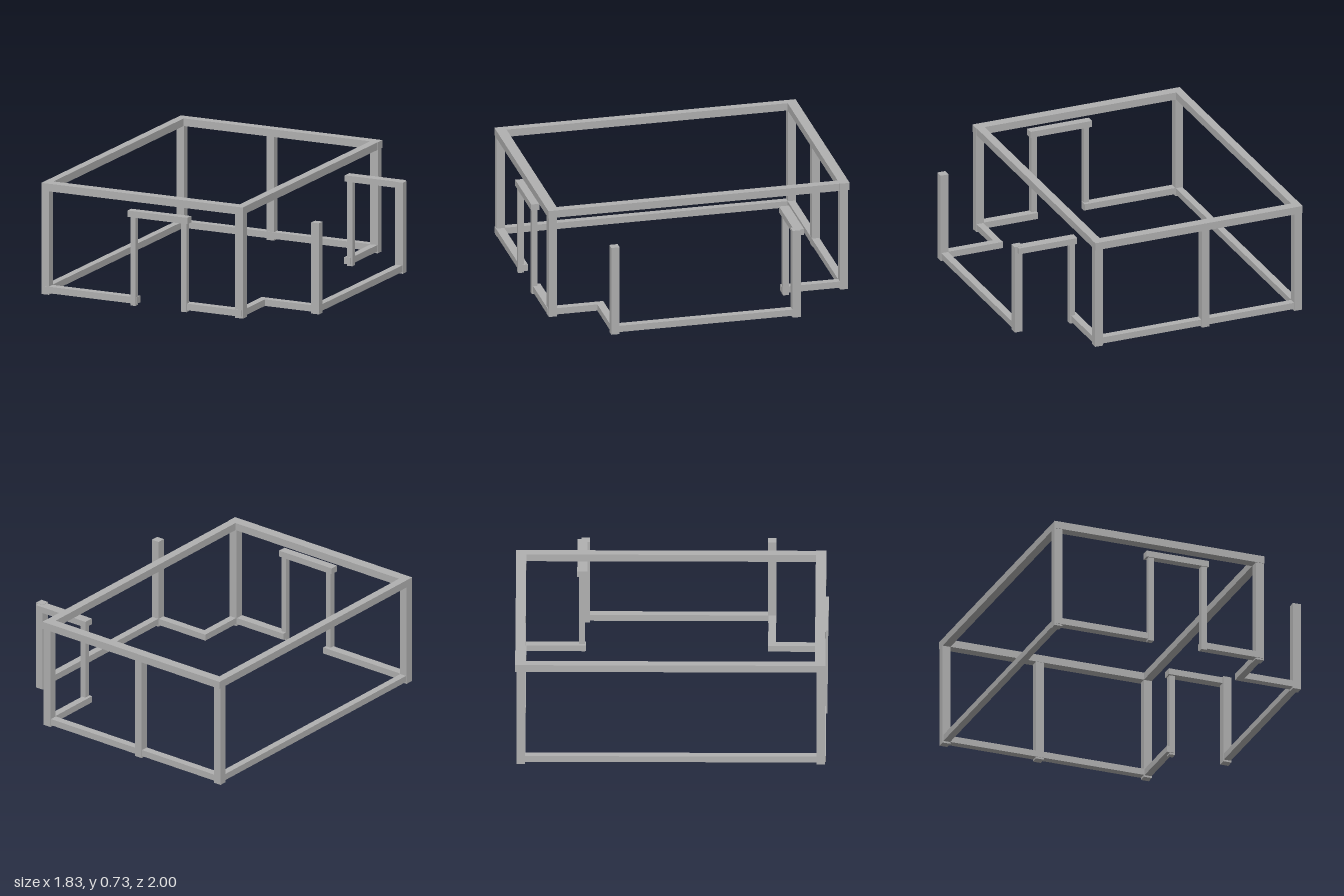
import * as THREE from 'three';

export function createModel() {
  const model = new THREE.Group();
  model.name = 'buildingFrame';
  const grey = new THREE.MeshStandardMaterial({ color: 0xb0b0b0 });
  grey.name = 'concreteGrey';

  // Square-edged member given by its extents on each axis
  function beam(name, [x0, x1], [y0, y1], [z0, z1]) {
    const mesh = new THREE.Mesh(new THREE.BoxGeometry(x1 - x0, y1 - y0, z1 - z0), grey);
    mesh.position.set((x0 + x1) / 2, (y0 + y1) / 2, (z0 + z1) / 2);
    mesh.name = name;
    model.add(mesh);
  }

  const left = [-0.913, -0.86], right = [0.473, 0.528];
  const front = [0.925, 0.98], back = [-0.99, -0.937];
  const bayX = [0.857, 0.912], bayFront = [0.608, 0.663], bayBack = [-0.585, -0.53];
  const sill = [0.012, 0.055], roof = [0.683, 0.733], wall = [0, 0.683];

  // Corner posts and the middle post of the back wall
  for (const x of [left, right]) {
    for (const z of [front, back]) beam('cornerPost', x, wall, z);
  }
  beam('backMiddlePost', [-0.27, -0.215], wall, back);

  // Upper ring
  beam('frontTopBeam', [-0.913, 0.53], roof, [0.915, 0.983]);
  beam('backTopBeam', [-0.913, 0.53], roof, [-1, -0.935]);
  for (const x of [left, right]) beam('sideTopBeam', x, roof, [-0.935, 0.915]);

  // Ground sills, left open at both doorways
  beam('frontSillA', [-0.9, -0.23], sill, [0.93, 0.985]);
  beam('frontSillB', [0.095, 0.52], sill, [0.93, 0.985]);
  beam('backSill', [-0.9, 0.52], sill, [-0.985, -0.935]);
  beam('longSideSill', [-0.908, -0.862], sill, [-0.98, 0.975]);
  beam('sideSillBack', [0.478, 0.525], sill, [-0.98, -0.555]);
  beam('sideSillFront', [0.478, 0.525], sill, [0.61, 0.975]);

  // Side bay
  beam('bayFrontSill', [0.48, 0.89], sill, [0.61, 0.66]);
  beam('bayOuterSill', [0.86, 0.908], sill, [-0.58, 0.66]);
  for (const z of [bayFront, bayBack]) beam('bayPost', bayX, [0, 0.6], z);

  // Bay doorway
  beam('bayDoorPost', [0.498, 0.535], [0, 0.557], [-0.6, -0.56]);
  beam('bayDoorHeader', [0.488, 0.893], [0.557, 0.598], [-0.61, -0.545]);

  // Front doorway
  for (const x of [-0.271, 0.093]) beam('frontDoorPost', [x, x + 0.037], [0, 0.583], [0.955, 0.993]);
  beam('frontDoorHeader', [-0.287, 0.141], [0.583, 0.625], [0.945, 1]);

  return model;
}
